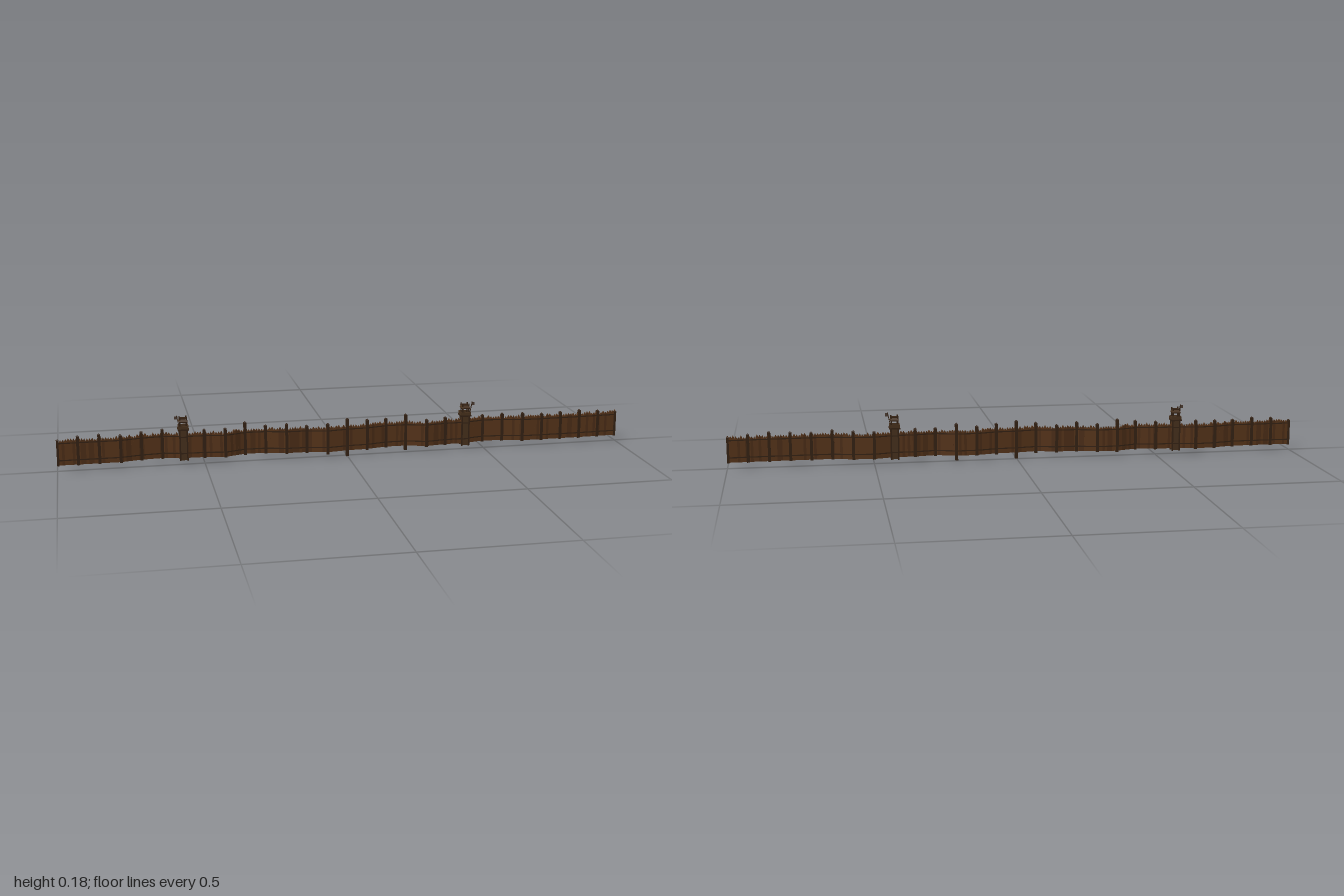
import * as THREE from 'three';

const mat = (name, color, side = THREE.FrontSide) => {
  const m = new THREE.MeshStandardMaterial({ color, flatShading: true, side });
  m.name = name;
  return m;
};

export function createModel() {
  const wood = mat('plank brown', 0x553319);
  const wood2 = mat('plank brown deep', 0x4a2c16);
  const dark = mat('dark timber', 0x332113);
  const straw = mat('weathered timber', 0x46301c);
  const cloth = mat('pennant cloth', 0x4a3a30, THREE.DoubleSide);

  let seed = 7;
  const rand = () => (seed = (seed * 16807) % 2147483647) / 2147483647;

  const model = new THREE.Group();
  model.name = 'palisade';

  const add = (parent, name, geo, material, x = 0, y = 0, z = 0) => {
    const m = new THREE.Mesh(geo, material);
    m.name = name;
    m.position.set(x, y, z);
    parent.add(m);
    return m;
  };
  const box = (parent, name, material, w, y0, y1, d, x = 0, z = 0) =>
    add(parent, name, new THREE.BoxGeometry(w, y1 - y0, d), material, x, (y0 + y1) / 2, z);

  // Plank with a sharpened top
  const plankGeo = (w, y0, y1, d) => {
    const tip = 0.008;
    const s = new THREE.Shape();
    s.moveTo(-w / 2, y0);
    s.lineTo(w / 2, y0);
    s.lineTo(w / 2, y1 - tip);
    s.lineTo(0, y1);
    s.lineTo(-w / 2, y1 - tip);
    s.closePath();
    return new THREE.ExtrudeGeometry(s, { depth: d, bevelEnabled: false }).translate(0, 0, -d / 2);
  };

  // Wandering line of the wall: z at each of 29 evenly spaced posts
  const zs = [0, 0, 0, 0, -0.016, -0.022, -0.007, -0.005, 0.006, -0.018, -0.016, 0.002, 0.003, 0.02,
    0.009, 0.006, -0.01, -0.01, 0.011, 0, 0, -0.018, -0.012, 0.005, 0.006, 0.005, 0.005, 0.003, 0];
  const n = zs.length - 1;
  const px = i => -1 + (2 * i) / n;
  const towers = { 6: -1, 20: 1 };

  // Wall panels between posts
  for (let i = 0; i < n; i++) {
    const dx = px(i + 1) - px(i), dz = zs[i + 1] - zs[i];
    const len = Math.hypot(dx, dz);
    const panel = new THREE.Group();
    panel.name = 'wallPanel';
    panel.position.set((px(i) + px(i + 1)) / 2, 0, (zs[i] + zs[i + 1]) / 2);
    panel.rotation.y = -Math.atan2(dz, dx);
    model.add(panel);
    const count = 8, w = len / count;
    for (let k = 0; k < count; k++) {
      const top = 0.107 + rand() * 0.008;
      add(panel, 'plank', plankGeo(w, 0.021, top, 0.005 + rand() * 0.001),
        rand() < 0.7 ? wood : wood2, (k + 0.5) * w - len / 2);
    }
    for (const y of [0.038, 0.098]) box(panel, 'rail', dark, len, y - 0.002, y + 0.002, 0.008);
  }

  // Posts, some taller and set deeper
  const bottoms = { 9: 0.017, 12: 0.018, 13: 0.014, 14: 0, 15: 0.018, 17: 0.005, 18: 0.018 };
  const tops = { 9: 0.137, 14: 0.137, 17: 0.137, 11: 0.128, 13: 0.126, 15: 0.13, 16: 0.126, 18: 0.12 };
  for (let i = 0; i <= n; i++) {
    if (i in towers) continue;
    const end = i === 0 || i === n;
    const x = end ? px(i) * 0.996 : px(i);
    const y0 = bottoms[i] ?? 0.019, y1 = end ? 0.112 : tops[i] ?? 0.119 + (i % 3) * 0.003;
    box(model, 'post', dark, end ? 0.008 : 0.01, y0, y1 - 0.004, 0.011, x, zs[i]);
    const cap = add(model, 'postTip', new THREE.ConeGeometry(0.007, 0.005, 4), dark, x, y1 - 0.0015, zs[i]);
    cap.rotation.y = Math.PI / 4;
  }

  // Watchtowers
  for (const [key, side] of Object.entries(towers)) {
    const i = Number(key);
    const tower = new THREE.Group();
    tower.name = 'watchtower';
    tower.position.set(px(i), 0, zs[i]);
    model.add(tower);

    box(tower, 'towerBody', straw, 0.026, 0.016, 0.122, 0.026);
    for (const sx of [-1, 1]) for (const sz of [-1, 1]) {
      box(tower, 'cornerPost', dark, 0.005, 0.014, 0.126, 0.005, sx * 0.0125, sz * 0.0125);
      box(tower, 'roofPost', dark, 0.004, 0.13, 0.154, 0.004, sx * 0.011, sz * 0.011);
      box(tower, 'roofFinial', dark, 0.004, 0.158, 0.168, 0.004, sx * 0.0115, sz * 0.0115);
    }
    for (const y of [0.04, 0.098]) box(tower, 'towerBand', dark, 0.028, y - 0.002, y + 0.002, 0.028);

    // Flared deck with a low parapet
    box(tower, 'deck', dark, 0.038, 0.122, 0.127, 0.038);
    for (const s of [-1, 1]) {
      box(tower, 'parapet', straw, 0.034, 0.127, 0.138, 0.003, 0, s * 0.0165);
      box(tower, 'parapet', straw, 0.003, 0.127, 0.138, 0.034, s * 0.0165, 0);
    }

    // Stepped roof
    box(tower, 'roofFrame', dark, 0.028, 0.149, 0.153, 0.028);
    const roof = add(tower, 'roof', new THREE.CylinderGeometry(0.014, 0.022, 0.009, 4), straw, 0, 0.1575, 0);
    roof.rotation.y = Math.PI / 4;
    box(tower, 'roofRidge', dark, 0.021, 0.161, 0.164, 0.021);

    // Pennant leaning outward
    const pole = box(tower, 'pennantPole', dark, 0.0025, 0.135, 0.176, 0.0025, side * 0.018, 0.015);
    pole.rotation.z = -side * 0.2;
    box(tower, 'pennant', cloth, 0.011, 0.163, 0.174, 0.001, side * 0.025, 0.015);
  }
  return model;
}
